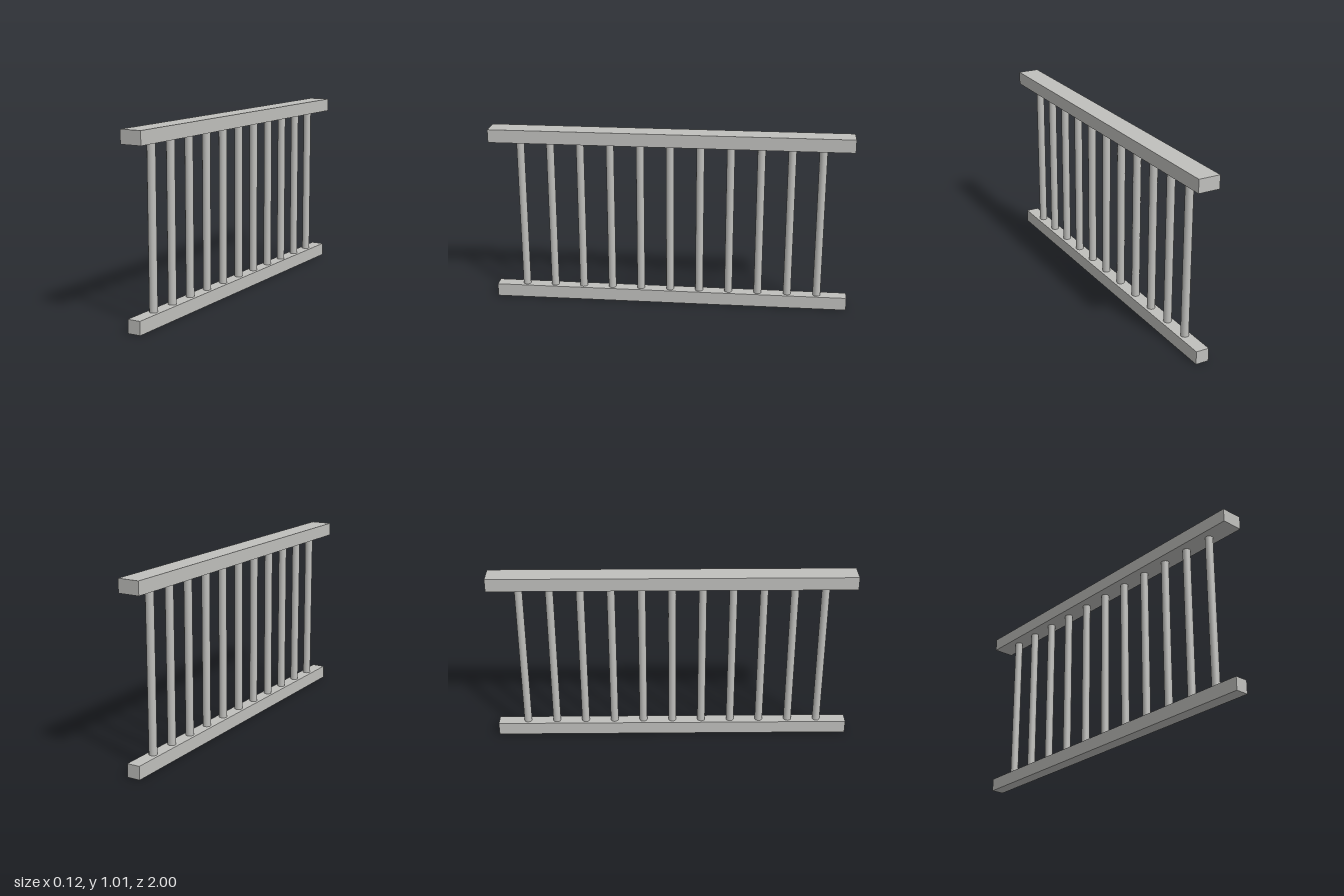
import * as THREE from 'three';

export function createModel() {
  const model = new THREE.Group();
  model.name = 'railing';
  const stone = new THREE.MeshStandardMaterial({ color: 0xc0c0bd });
  stone.name = 'pale grey';
  // Balusters share the colour of the rails
  const add = (name, geometry, y, z = 0) => {
    const mesh = new THREE.Mesh(geometry, stone);
    mesh.name = name;
    mesh.position.set(0, y, z);
    model.add(mesh);
  };

  // Rails
  const bottomTop = 0.073, topBottom = 0.933, height = 1.006;
  add('bottomRail', new THREE.BoxGeometry(0.073, bottomTop, 2), bottomTop / 2);
  add('handrail', new THREE.BoxGeometry(0.12, height - topBottom, 2), (height + topBottom) / 2);

  // Eleven evenly spaced round balusters
  const baluster = new THREE.CylinderGeometry(0.022, 0.022, topBottom - bottomTop, 12, 1, true);
  for (let i = -5; i <= 5; i++) {
    add('baluster', baluster, (topBottom + bottomTop) / 2, i / 6);
  }
  return model;
}
